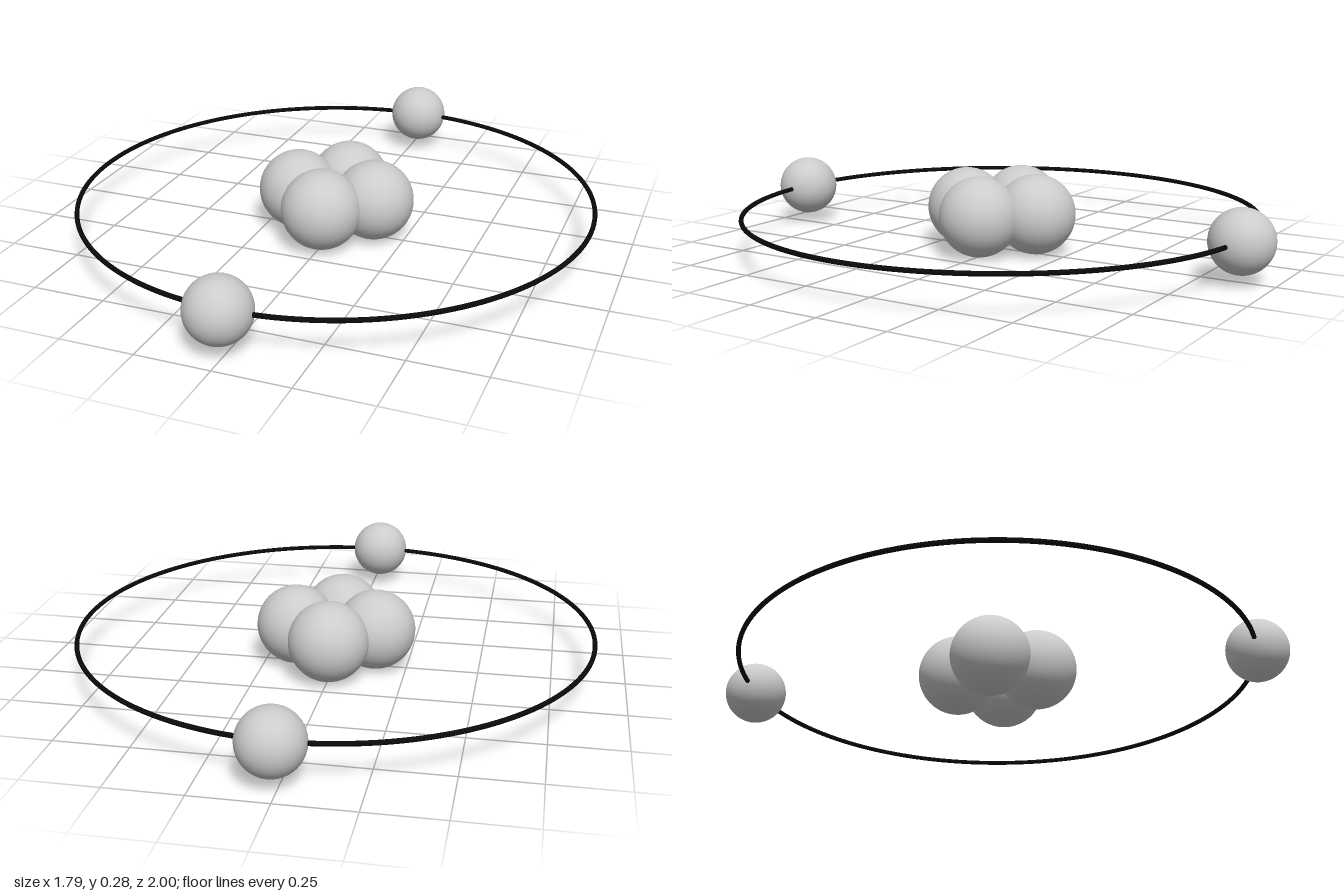
import * as THREE from 'three';

export function createModel() {
  const group = new THREE.Group();
  const grey = new THREE.MeshStandardMaterial({ color: 0xcccccc });
  const black = new THREE.MeshStandardMaterial({ color: 0x0a0a0a });
  const midY = 0.138;

  const addBall = (name, radius, x, z) => {
    const ball = new THREE.Mesh(new THREE.SphereGeometry(radius, 48, 32), grey);
    ball.name = name;
    ball.position.set(x, midY, z);
    group.add(ball);
  };

  // Nucleus: four overlapping balls in a cross
  for (let i = 0; i < 4; i++) {
    const a = (i * Math.PI) / 2;
    addBall('nucleon' + (i + 1), 0.138, 0.14 * Math.cos(a), 0.14 * Math.sin(a));
  }

  // Two electrons on opposite sides of the orbit
  addBall('frontElectron', 0.107, -0.023, 0.893);
  addBall('backElectron', 0.107, 0.023, -0.893);

  // Thin orbit ring
  const orbit = new THREE.Mesh(new THREE.TorusGeometry(0.889, 0.008, 12, 160), black);
  orbit.name = 'orbitRing';
  orbit.rotation.x = Math.PI / 2;
  orbit.position.y = midY;
  group.add(orbit);

  return group;
}
